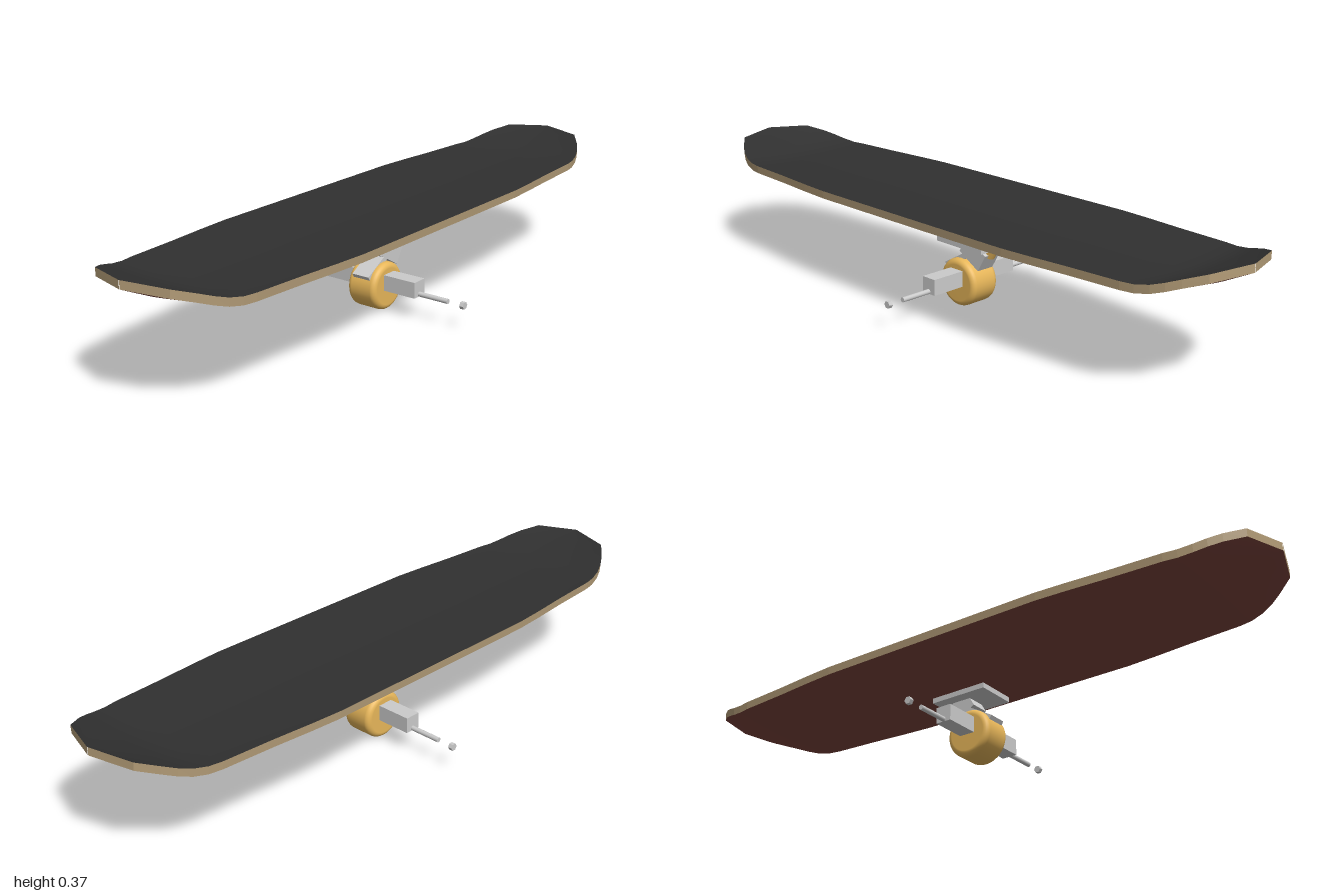
import * as THREE from 'three';

const mat = (color, extra = {}) => new THREE.MeshStandardMaterial({ color, ...extra });

// Smooth surface through a grid of points: rows run along z, columns across
function gridSurface(rows) {
  const n = rows[0].length, pos = rows.flat(2), index = [];
  for (let i = 0; i < rows.length - 1; i++) {
    for (let j = 0; j < n - 1; j++) {
      const a = i * n + j, b = a + n;
      index.push(a, b, a + 1, b, b + 1, a + 1);
    }
  }
  const g = new THREE.BufferGeometry();
  g.setAttribute('position', new THREE.Float32BufferAttribute(pos, 3));
  g.setIndex(index);
  g.computeVertexNormals();
  return g;
}

export function createModel() {
  const model = new THREE.Group();
  model.name = 'skateboard';
  const grey = mat(0xcccccc);
  const amber = mat(0xe8b75a);

  const add = (name, geometry, material, x = 0, y = 0, z = 0, tilt = 0, parent = model) => {
    const mesh = new THREE.Mesh(geometry, material);
    mesh.name = name;
    mesh.position.set(x, y, z);
    mesh.rotation.x = tilt;
    parent.add(mesh);
    return mesh;
  };

  // Deck outline: [distance from middle, half width]
  const half = [[0, 0.25], [0.38, 0.25], [0.48, 0.243], [0.6, 0.232], [0.7, 0.225], [0.76, 0.221],
    [0.8, 0.214], [0.84, 0.204], [0.875, 0.19], [0.91, 0.169], [0.96, 0.13], [1, 0.001]];
  const stations = [...half.slice(1).reverse().map(([z, w]) => [-z, w]), ...half];

  // Deck point: u runs -1..1 across; concave across, kicked up at both ends
  const thickness = 0.024;
  const deckPoint = ([z, w], u, bottom) => {
    const kick = 0.053 * THREE.MathUtils.smoothstep(Math.abs(z), 0.79, 1.01);
    const dish = 0.011 * (1 - u * u) * Math.min(1, w / 0.13);
    return [u * w * (bottom ? 0.992 : 1), 0.32 + kick - dish - (bottom ? thickness : 0), z];
  };
  const across = Array.from({ length: 13 }, (_, i) => i / 6 - 1);
  const deck = new THREE.Group();
  deck.name = 'deck';
  model.add(deck);
  add('gripTop', gridSurface(stations.map(s => across.map(u => deckPoint(s, u, false)))),
    mat(0x303030), 0, 0, 0, 0, deck);
  add('deckUnderside', gridSurface(stations.map(s => across.map(u => deckPoint(s, -u, true)))),
    mat(0x7c443c), 0, 0, 0, 0, deck);
  const wood = mat(0xb49d78, { flatShading: true });
  for (const side of [1, -1]) {
    const rim = stations.map(s => [deckPoint(s, side, side < 0), deckPoint(s, side, side > 0)]);
    add(side > 0 ? 'leftRim' : 'rightRim', gridSurface(rim), wood, 0, 0, 0, 0, deck);
  }

  // Wheel with rounded shoulders
  const R = 0.0735, W = 0.051, r = 0.017;
  const profile = [new THREE.Vector2(0, -W)];
  for (const end of [-1, 1]) {
    for (let i = 0; i <= 6; i++) {
      const a = (end < 0 ? i - 6 : i) * Math.PI / 12;
      profile.push(new THREE.Vector2(R - r + r * Math.cos(a), end * (W - r) + r * Math.sin(a)));
    }
  }
  profile.push(new THREE.Vector2(0, W));
  add('wheel', new THREE.LatheGeometry(profile, 40), amber, 0, 0.0745, 0).rotation.z = Math.PI / 2;

  // Hanger, axle and axle nuts
  add('hanger', new THREE.BoxGeometry(0.326, 0.049, 0.05), grey, 0, 0.0925, 0);
  add('axle', new THREE.CylinderGeometry(0.0075, 0.0075, 0.53, 16), grey, 0, 0.0755, 0)
    .rotation.z = Math.PI / 2;
  for (const side of [1, -1]) {
    add('axleNut', new THREE.CylinderGeometry(0.0115, 0.0115, 0.013, 6), mat(0xcccccc, { flatShading: true }),
      side * 0.317, 0.0755, 0).rotation.z = Math.PI / 2;
  }

  // Baseplate, tilted truck body and pivot arm
  const tilt = Math.PI / 6;
  add('baseplate', new THREE.BoxGeometry(0.13, 0.016, 0.188), grey, 0, 0.202, -0.024);
  add('truckBody', new THREE.BoxGeometry(0.06, 0.06, 0.09), grey, 0, 0.1715, -0.045, -tilt);
  add('pivotArm', new THREE.BoxGeometry(0.06, 0.0175, 0.13), grey, 0, 0.143, 0.012, tilt);

  // Bushing and kingpin nut behind the body
  add('bushing', new THREE.CylinderGeometry(0.018, 0.018, 0.028, 20), amber, 0, 0.182, -0.093, -tilt);
  add('kingpinNut', new THREE.CylinderGeometry(0.01, 0.01, 0.02, 6), grey, 0, 0.203, -0.106, -tilt);

  return model;
}
